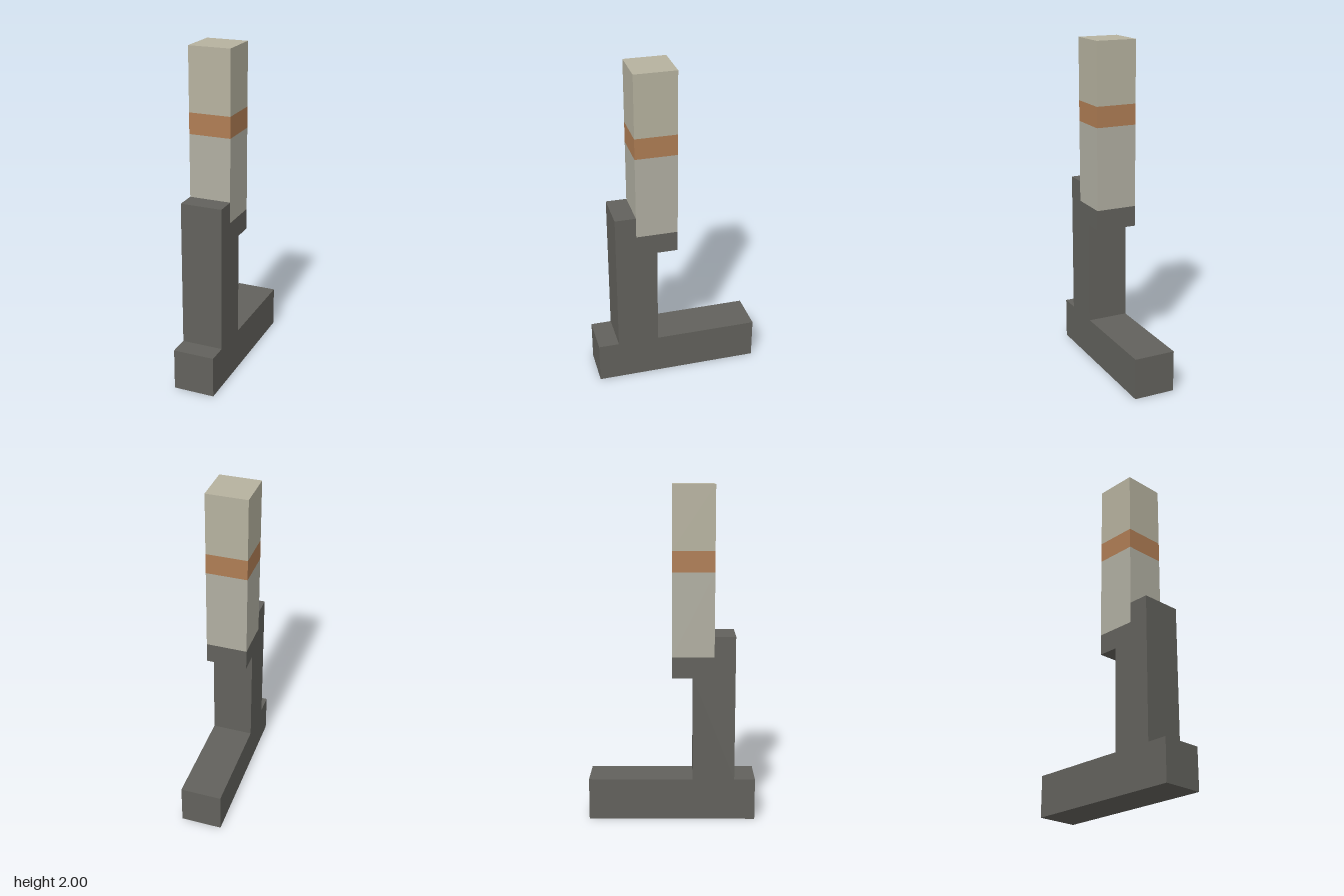
import * as THREE from 'three';

const WIDTH = 0.25;

function material(color) {
  return new THREE.MeshStandardMaterial({ color, flatShading: true });
}

export function createModel() {
  const model = new THREE.Group();

  // Stand: foot, upright and rear ledge as one side profile (z, y), extruded across x
  const profile = [
    [0.5, 0], [0.5, 0.25], [0.375, 0.25], [0.375, 1.125], [0.25, 1.125], [0.25, 1],
    [0, 1], [0, 0.875], [0.125, 0.875], [0.125, 0.25], [-0.5, 0.25], [-0.5, 0],
  ];
  const shape = new THREE.Shape(profile.map(([z, y]) => new THREE.Vector2(z, y)));
  const standGeometry = new THREE.ExtrudeGeometry(shape, { depth: WIDTH, bevelEnabled: false });
  standGeometry.translate(0, 0, -WIDTH / 2).rotateY(-Math.PI / 2);
  const stand = new THREE.Mesh(standGeometry, material(0x62615c));
  stand.name = 'stand';
  model.add(stand);

  // Post: stacked coloured sections resting on the ledge
  const post = new THREE.Group();
  post.name = 'post';
  const sections = [
    ['lowerPost', 1, 1.5, 0xb1afa2],
    ['postBand', 1.5, 1.625, 0xaf7d54],
    ['upperPost', 1.625, 2, 0xb6b29f],
  ];
  for (const [name, bottom, top, color] of sections) {
    const section = new THREE.Mesh(new THREE.BoxGeometry(WIDTH, top - bottom, 0.25), material(color));
    section.name = name;
    section.position.set(0, (bottom + top) / 2, 0.125);
    post.add(section);
  }
  model.add(post);

  return model;
}
